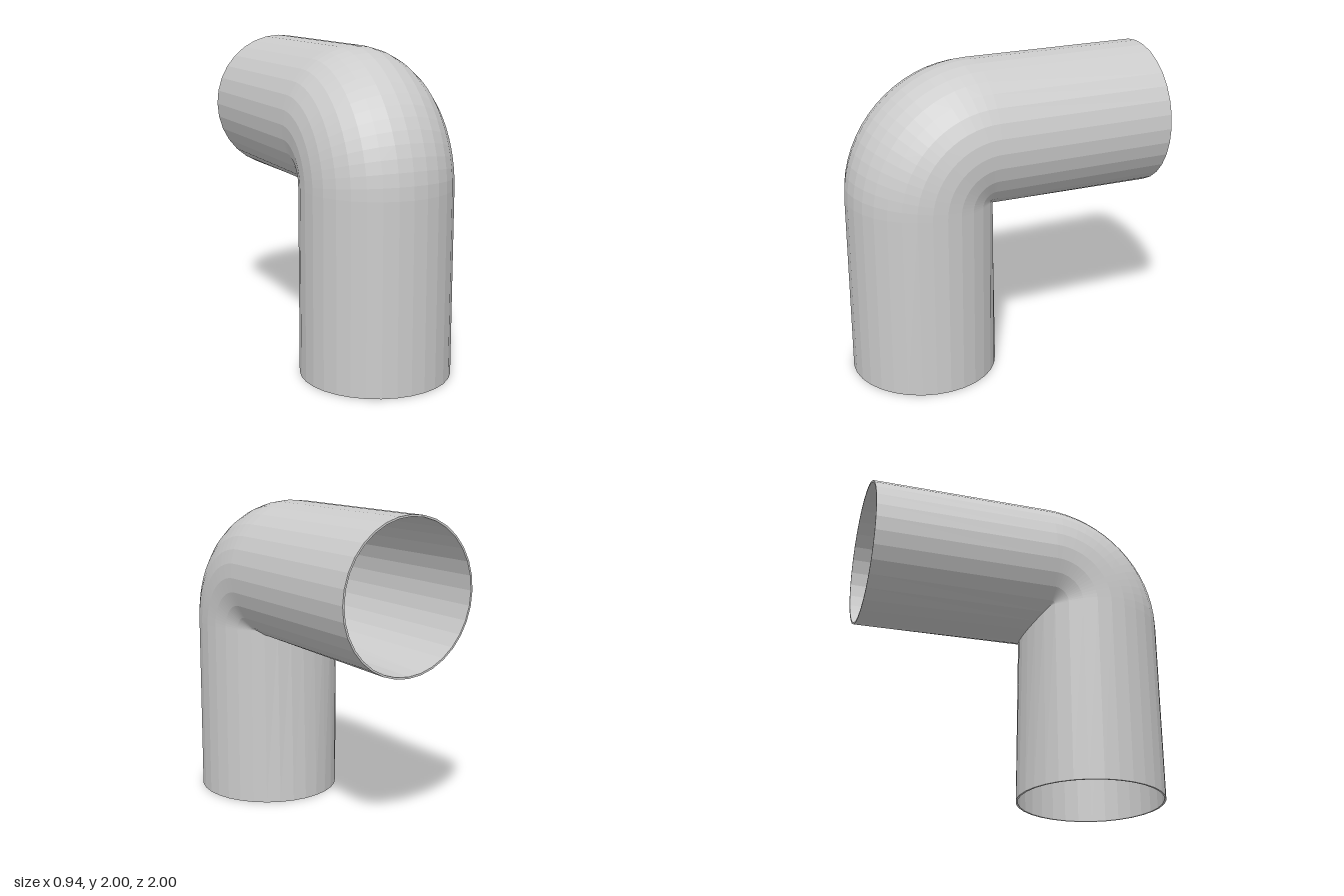
import * as THREE from 'three';

const SIDES = 32, BEND_STEPS = 16;
const OUTER = 0.47, WALL = 0.012;
const BEND_Y = 1.175, BEND_Z = 0.175; // pivot of the bend
const AXIS = 0.355;                   // bend radius of the pipe axis

// One ring of the pipe at a bend angle, pushed out along the straight arm by reach
function ring(radius, angle, reach) {
  const points = [];
  for (let j = 0; j < SIDES; j++) {
    const t = (j / SIDES) * Math.PI * 2;
    let r = AXIS + radius * Math.cos(t);
    if (reach === 0 && r < 0) r *= 0.75; // the inside of the bend is pinched
    const back = angle > 0 ? reach : 0, down = angle > 0 ? 0 : reach;
    points.push([
      radius * Math.sin(t),
      BEND_Y + r * Math.sin(angle) - down,
      BEND_Z + r * Math.cos(angle) - back,
    ]);
  }
  return points;
}

// All rings of one wall surface, from the lower mouth to the rear mouth
function wall(radius) {
  const rings = [ring(radius, 0, BEND_Y)];
  for (let i = 0; i <= BEND_STEPS; i++) rings.push(ring(radius, (i / BEND_STEPS) * Math.PI / 2, 0));
  rings.push(ring(radius, Math.PI / 2, BEND_Z + 1));
  return rings;
}

export function createModel() {
  // Outer wall forward, inner wall back: closing the loop makes both rims
  const rings = [...wall(OUTER), ...wall(OUTER - WALL).reverse()];
  const index = [];
  for (let i = 0; i < rings.length; i++) {
    const n = (i + 1) % rings.length;
    for (let j = 0; j < SIDES; j++) {
      const k = (j + 1) % SIDES;
      const a = i * SIDES + j, b = i * SIDES + k, c = n * SIDES + k, d = n * SIDES + j;
      index.push(a, b, c, a, c, d);
    }
  }
  const geometry = new THREE.BufferGeometry();
  geometry.setAttribute('position', new THREE.Float32BufferAttribute(rings.flat(2), 3));
  geometry.setIndex(index);
  geometry.computeVertexNormals();

  const pipe = new THREE.Mesh(geometry, new THREE.MeshStandardMaterial({
    color: 0xcccccc, flatShading: true, side: THREE.DoubleSide,
  }));
  pipe.name = 'elbowPipe';
  const model = new THREE.Group();
  model.name = 'pipeElbow';
  model.add(pipe);
  return model;
}
